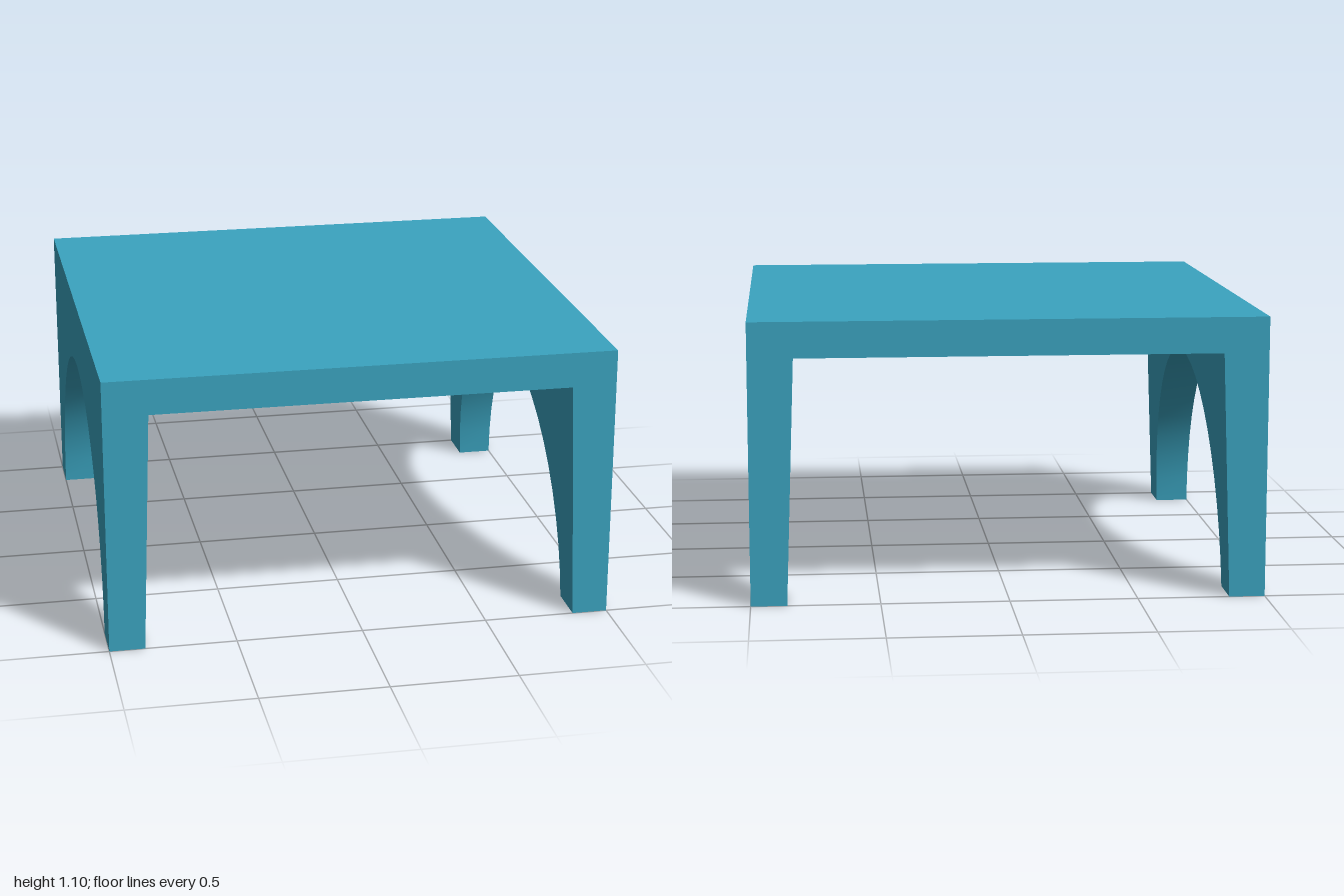
import * as THREE from 'three';
import { toCreasedNormals } from 'three/addons/utils/BufferGeometryUtils.js';

const TOP = 1.1, UNDER = 0.96, ARCH = 0.83;
const FOOT_X = 0.86, UNDER_X = 0.825; // inner face of a side wall at the floor and under the top

// Side wall with a round arch; its inner face leans so the wall thickens upwards
function archedWall() {
  const shape = new THREE.Shape();
  shape.moveTo(ARCH, 0);
  shape.lineTo(1, 0);
  shape.lineTo(1, UNDER);
  shape.lineTo(-1, UNDER);
  shape.lineTo(-1, 0);
  shape.lineTo(-ARCH, 0);
  shape.absarc(0, 0, ARCH, Math.PI, 0, true);
  const geometry = new THREE.ExtrudeGeometry(shape, { depth: 1, bevelEnabled: false, curveSegments: 12 });
  geometry.rotateY(Math.PI / 2);
  const p = geometry.attributes.position;
  for (let i = 0; i < p.count; i++) {
    if (p.getX(i) < 0.5) p.setX(i, THREE.MathUtils.lerp(FOOT_X, UNDER_X, p.getY(i) / UNDER));
  }
  return toCreasedNormals(geometry, 0.5);
}

export function createModel() {
  const model = new THREE.Group();
  model.name = 'archedTable';
  const material = new THREE.MeshStandardMaterial({ color: 0x3ba4c0 });

  // Flat top slab
  const top = new THREE.Mesh(new THREE.BoxGeometry(2, TOP - UNDER, 2), material);
  top.name = 'tableTop';
  top.position.y = (TOP + UNDER) / 2;
  model.add(top);

  // Left and right arched walls, each ending in two feet
  const wall = archedWall();
  ['leftArchedWall', 'rightArchedWall'].forEach((name, i) => {
    const mesh = new THREE.Mesh(wall, material);
    mesh.name = name;
    mesh.rotation.y = i * Math.PI;
    model.add(mesh);
  });
  return model;
}
